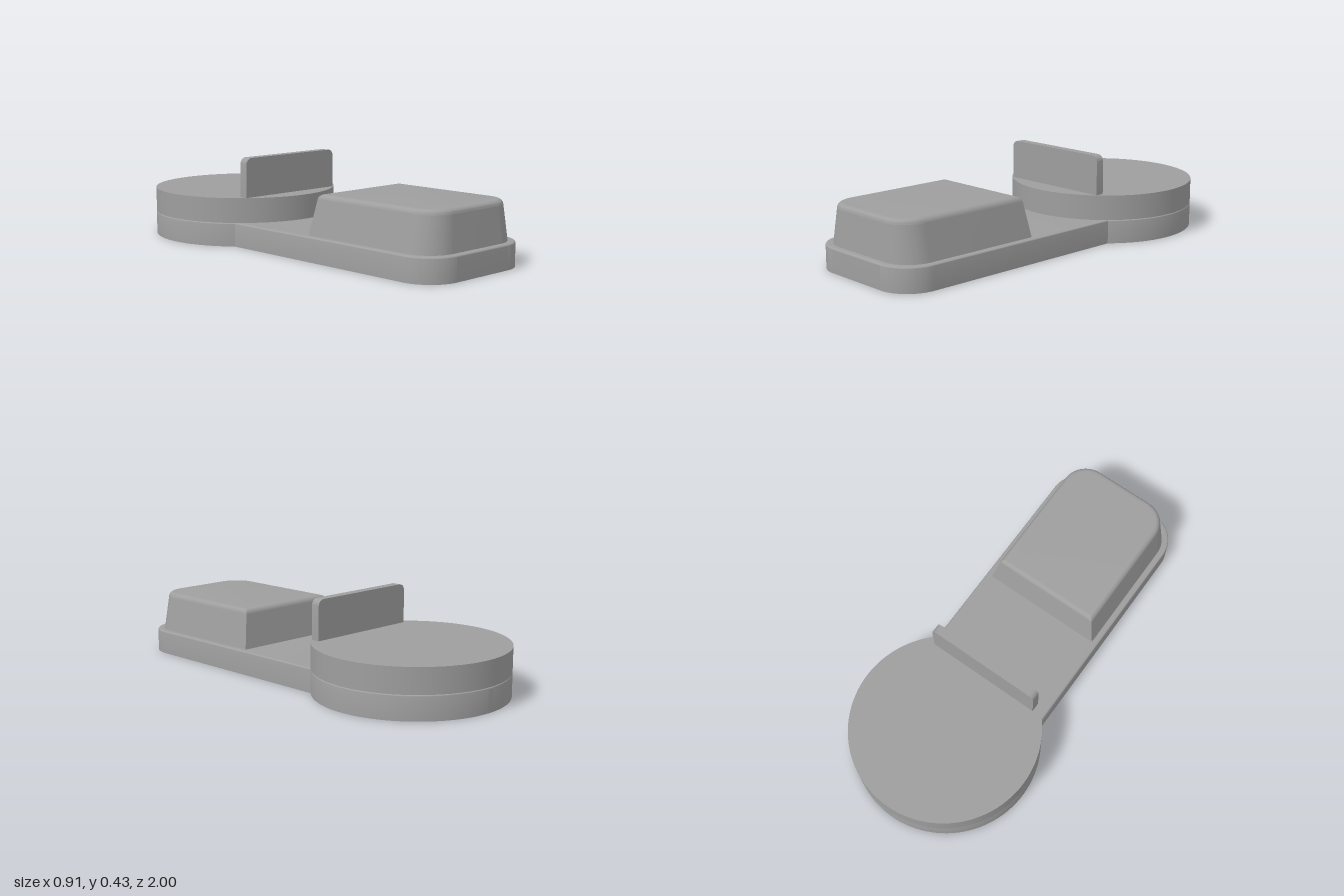
import * as THREE from 'three';
import { toCreasedNormals } from 'three/addons/utils/BufferGeometryUtils.js';

const DISC_Z = -0.546, DISC_R = 0.454, BASE_H = 0.115, DISC_TOP = 0.235;

// Skin stacked outlines (x, -z, counter-clockwise from above), closed at both ends
function loft(levels) {
  const pos = [], idx = [], n = levels[0].points.length;
  for (const { y, points } of levels) for (const p of points) pos.push(p.x, y, -p.y);
  for (let k = 0; k < levels.length - 1; k++) {
    for (let i = 0; i < n; i++) {
      const j = (i + 1) % n, a = k * n + i, b = k * n + j;
      idx.push(a, b, b + n, a, b + n, a + n);
    }
  }
  const top = (levels.length - 1) * n;
  for (const [a, b, c] of THREE.ShapeUtils.triangulateShape(levels[0].points, [])) idx.push(a, c, b);
  for (const [a, b, c] of THREE.ShapeUtils.triangulateShape(levels.at(-1).points, [])) idx.push(top + a, top + b, top + c);
  const g = new THREE.BufferGeometry();
  g.setAttribute('position', new THREE.Float32BufferAttribute(pos, 3));
  g.setIndex(idx);
  return toCreasedNormals(g, 0.5);
}

// Heights and insets of a rounded top edge, with narrow rings that keep the wall and top flat
function fillet(topY, r, steps = 5) {
  const arc = Array.from({ length: steps + 1 }, (_, k) => {
    const a = (k / steps) * Math.PI / 2;
    return { y: topY - r + r * Math.sin(a), inset: r * (1 - Math.cos(a)) };
  });
  return [{ y: topY - r - 0.002, inset: 0 }, ...arc, { y: topY, inset: r + 0.002 }];
}

// Two rounded front corners shared by the base and the raised block
function frontCorners(path, hw, front, r) {
  path.absarc(-hw + r, -front + r, r, Math.PI, 1.5 * Math.PI);
  path.absarc(hw - r, -front + r, r, 1.5 * Math.PI, 2 * Math.PI);
}

// Bar running into a disc
function baseOutline(inset) {
  const path = new THREE.Path(), hw = 0.332 - inset, r = DISC_R - inset;
  const a = Math.acos(hw / r);
  frontCorners(path, hw, 1 - inset, 0.16 - inset);
  path.absarc(0, -DISC_Z, r, -a, Math.PI + a);
  return path.getPoints(40);
}

// Tapered block: square at the back, rounded at the front
function blockOutline(y, inset) {
  const t = (y - BASE_H) / 0.188, path = new THREE.Path();
  const hw = 0.302 - 0.036 * t - inset;
  const back = 0.243 + 0.03 * t + inset, front = 0.969 - 0.015 * t - inset;
  frontCorners(path, hw, front, 0.14 - 0.02 * t - inset);
  path.lineTo(hw, -back);
  path.lineTo(-hw, -back);
  return path.getPoints(12);
}

export function createModel() {
  const group = new THREE.Group();
  const material = new THREE.MeshStandardMaterial({ color: 0x9e9e9e });
  const add = (name, geometry) => {
    const mesh = new THREE.Mesh(geometry, material);
    mesh.name = name;
    group.add(mesh);
    return mesh;
  };

  // Keyhole-shaped base with a softened top edge
  add('base', loft([{ y: 0, inset: 0 }, ...fillet(BASE_H, 0.01)]
    .map(({ y, inset }) => ({ y, points: baseOutline(inset) }))));

  // Raised block on the front of the bar
  add('frontBlock', loft([{ y: BASE_H, inset: 0 }, ...fillet(0.303, 0.022)]
    .map(({ y, inset }) => ({ y, points: blockOutline(y, inset) }))));

  // Disc over the round end
  const discH = DISC_TOP - BASE_H;
  add('disc', new THREE.CylinderGeometry(DISC_R, DISC_R, discH, 96))
    .position.set(0, BASE_H + discH / 2, DISC_Z);

  // Upright plate with rounded top corners
  const w = 0.288, h = 0.425, r = 0.032;
  const plate = new THREE.Shape();
  plate.moveTo(-w, DISC_TOP - 0.005);
  plate.lineTo(w, DISC_TOP - 0.005);
  plate.absarc(w - r, h - r, r, 0, Math.PI / 2);
  plate.absarc(-w + r, h - r, r, Math.PI / 2, Math.PI);
  const plateGeo = new THREE.ExtrudeGeometry(plate, { depth: 0.044, bevelEnabled: false, curveSegments: 8 });
  add('uprightPlate', toCreasedNormals(plateGeo, 0.5)).position.z = -0.244;

  return group;
}
